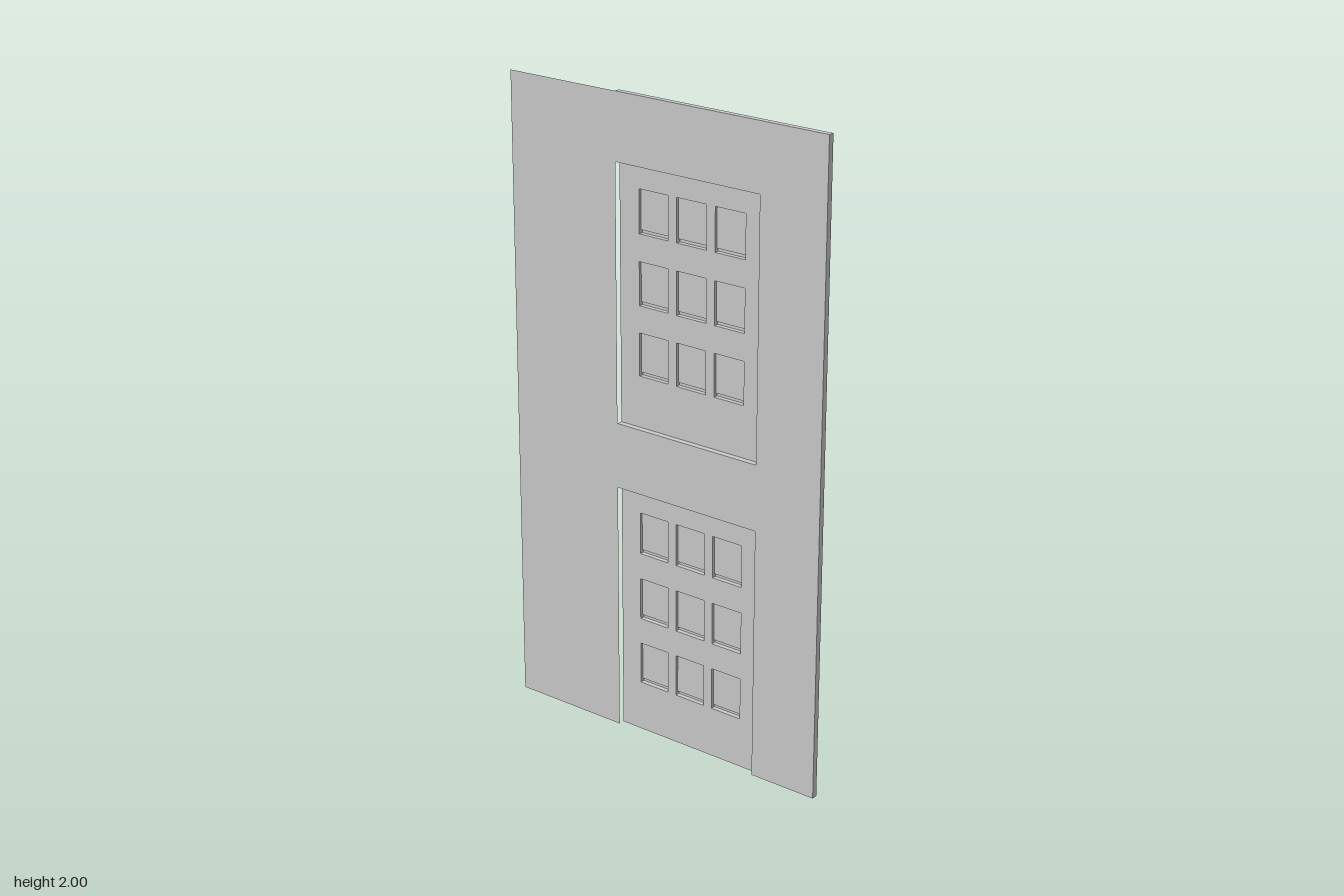
import * as THREE from 'three';
import { mergeGeometries } from 'three/addons/utils/BufferGeometryUtils.js';

const FRONT = 0.0165, BACK = -0.002, PANE = -0.011, SILL = -0.0165;
const X0 = -0.17, JAMB = 0.335, X1 = 0.557, DOOR_H = 0.795;

const material = new THREE.MeshStandardMaterial({ color: 0xcccccc, side: THREE.DoubleSide });

const toShape = (pts) => new THREE.Shape(pts.map(([x, y]) => new THREE.Vector2(x, y)));
const rect = (x0, y0, x1, y1) => [[x0, y0], [x1, y0], [x1, y1], [x0, y1]];

// Thin flat sheet at depth z, with optional rectangular holes
function sheet(pts, z, holes = []) {
  const shape = toShape(pts);
  for (const h of holes) shape.holes.push(new THREE.Path(h.map(([x, y]) => new THREE.Vector2(x, y))));
  return new THREE.ShapeGeometry(shape).translate(0, 0, z).toNonIndexed();
}

// Thin band following a path in xy, spanning depths z0 to z1, with sharp corners
function ribbon(pts, z0, z1) {
  const pos = [], uv = [];
  for (let i = 0; i + 1 < pts.length; i++) {
    const [a, b] = [pts[i], pts[i + 1]];
    pos.push(...a, z1, ...a, z0, ...b, z0, ...a, z1, ...b, z0, ...b, z1);
    uv.push(0, 1, 0, 0, 1, 0, 0, 1, 1, 0, 1, 1);
  }
  const g = new THREE.BufferGeometry();
  g.setAttribute('position', new THREE.Float32BufferAttribute(pos, 3));
  g.setAttribute('uv', new THREE.Float32BufferAttribute(uv, 2));
  g.computeVertexNormals();
  return g;
}

// Shallow window pocket: set-back pane with a deeper sill groove at its foot
function windowPocket(x0, y0, x1, y1) {
  const profile = [[-BACK, y1], [-PANE, y1], [-PANE, y0 + 0.01], [-SILL, y0 + 0.01], [-SILL, y0], [-BACK, y0]];
  return mergeGeometries([ribbon(profile, x0, x1), sheet(profile, x0), sheet(profile, x1)])
    .rotateY(Math.PI / 2);
}

export function createModel() {
  const group = new THREE.Group();
  const add = (name, geometry, parent = group) => {
    const mesh = new THREE.Mesh(geometry, material);
    mesh.name = name;
    parent.add(mesh);
    return mesh;
  };

  // Wall face, cut away around both doors, with an open-backed rim
  const outline = [
    [X0, DOOR_H], [JAMB, DOOR_H], [JAMB, 0], [X1, 0], [X1, 2], [X0, 2],
    [X0, 1 + DOOR_H], [JAMB, 1 + DOOR_H], [JAMB, 1], [X0, 1],
  ];
  add('wallFace', sheet(outline, FRONT));
  add('wallRim', ribbon([...outline, outline[0]], BACK, FRONT));
  add('floorDivider', ribbon([[JAMB, 1], [X1, 1]], BACK, FRONT));

  // Plain side strip, flush with the wall face
  add('sideStrip', sheet(rect(-X1, 0, X0, 2), FRONT));

  // Two set-back doors, each with a three by three grid of windows
  for (const [name, base] of [['lowerDoor', 0], ['upperDoor', 1]]) {
    const door = new THREE.Group();
    door.name = name;
    group.add(door);
    const windows = [];
    for (const y of [0.16, 0.376, 0.592])
      for (const x of [-0.1, 0.035, 0.17])
        windows.push([x, base + y, x + 0.105, base + y + 0.133]);
    add('doorPanel', sheet(rect(X0, base, JAMB, base + DOOR_H), BACK, windows.map((w) => rect(...w))), door);
    windows.forEach((w, i) => add(`window${i + 1}`, windowPocket(...w), door));
  }
  return group;
}
